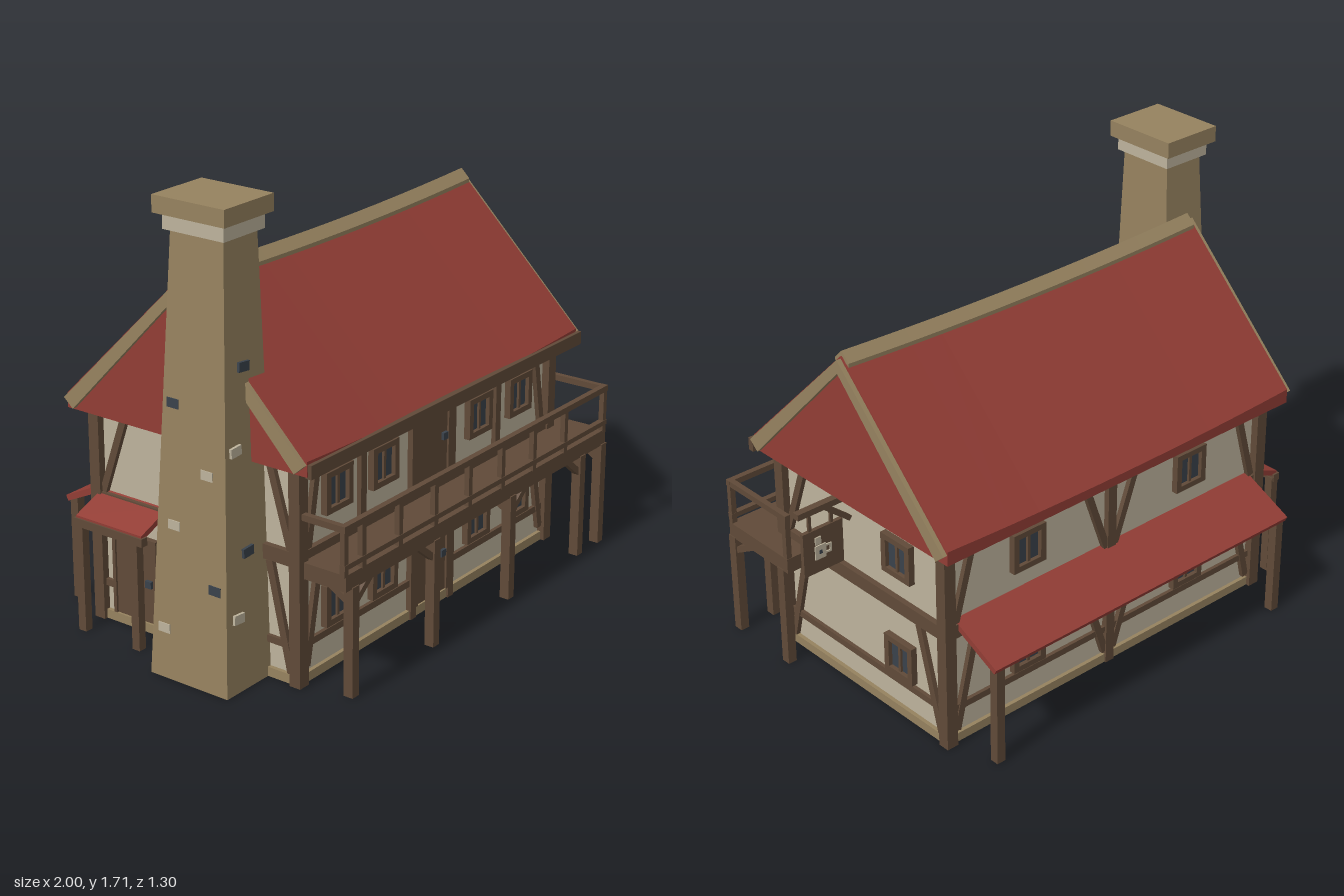
import * as THREE from 'three';

const mat = (name, color) => {
  const m = new THREE.MeshStandardMaterial({ color });
  m.name = name;
  return m;
};

export function createModel() {
  const plaster = mat('plaster', 0xbdb39c), red = mat('roof red', 0x923d35), tan = mat('stone tan', 0x96825f);
  const wood = mat('dark timber', 0x604a38), slate = mat('slate', 0x3a424b);
  const model = new THREE.Group();
  model.name = 'tavern';

  const add = (parent, name, geo, m) => {
    const mesh = new THREE.Mesh(geo, m);
    mesh.name = name;
    parent.add(mesh);
    return mesh;
  };
  const box = (parent, name, m, x0, x1, y0, y1, z0, z1) => {
    const mesh = add(parent, name, new THREE.BoxGeometry(x1 - x0, y1 - y0, z1 - z0), m);
    mesh.position.set((x0 + x1) / 2, (y0 + y1) / 2, (z0 + z1) / 2);
    return mesh;
  };
  // square bar from point p to point q
  const bar = (parent, name, m, p, q, w, d = w) => {
    const a = new THREE.Vector3(...p), b = new THREE.Vector3(...q);
    const mesh = add(parent, name, new THREE.BoxGeometry(w, a.distanceTo(b), d), m);
    mesh.position.copy(a).lerp(b, 0.5);
    mesh.quaternion.setFromUnitVectors(new THREE.Vector3(0, 1, 0), b.sub(a).normalize());
    return mesh;
  };
  // profile in (x, y) swept along z
  const sweep = (points, z0, z1, steps = 1) => {
    const shape = new THREE.Shape(points.map(p => new THREE.Vector2(...p)));
    return new THREE.ExtrudeGeometry(shape, { depth: z1 - z0, steps, bevelEnabled: false }).translate(0, 0, z0);
  };
  // profile in (-z, y) swept along x
  const sweepX = (points, x0, x1, steps) => sweep(points, x0, x1, steps).rotateY(Math.PI / 2);
  const sag = geo => {
    const p = geo.attributes.position;
    for (let i = 0; i < p.count; i++) {
      if (p.getY(i) > 0.83) p.setY(i, p.getY(i) + 0.02 * (p.getX(i) / 0.83) ** 2);
    }
    geo.computeVertexNormals();
    return geo;
  };

  // walls and plinth
  box(model, 'walls', plaster, -0.765, 0.765, 0.02, 0.82, -0.44, 0.44);
  box(model, 'plinth', tan, -0.78, 0.78, 0, 0.035, -0.455, 0.455);
  for (const x of [-0.77, 0.77]) for (const z of [-0.447, 0.447]) {
    box(model, 'cornerPost', wood, x - 0.024, x + 0.024, 0, 0.82, z - 0.023, z + 0.023);
  }

  // one group per wall: local x runs along the wall, local z = 0 is its surface
  const side = (name, angle, dist, half) => {
    const g = new THREE.Group();
    g.name = name;
    g.rotation.y = angle;
    g.position.set(Math.sin(angle) * dist, 0, Math.cos(angle) * dist);
    model.add(g);
    box(g, 'middleBeam', wood, -half, half, 0.443, 0.497, 0, 0.022);
    box(g, 'lowerRail', wood, -half, half, 0.13, 0.156, 0, 0.014);
    box(g, 'topBeam', wood, -half, half, 0.79, 0.82, 0, 0.018);
    return g;
  };
  const brace = (g, x0, y0, x1, y1) => bar(g, 'brace', wood, [x0, y0, 0.006], [x1, y1, 0.006], 0.028, 0.024);
  const windowAt = (g, x, y) => {
    const w = new THREE.Group();
    w.name = 'window';
    w.position.set(x, y, 0);
    g.add(w);
    box(w, 'glass', slate, -0.055, 0.055, -0.06, 0.06, 0, 0.009);
    for (const s of [-1, 1]) {
      box(w, 'frameSide', wood, s * 0.063 - 0.012, s * 0.063 + 0.012, -0.077, 0.077, 0, 0.025);
      box(w, 'frameRail', wood, -0.052, 0.052, s * 0.066 - 0.011, s * 0.066 + 0.011, 0, 0.025);
    }
    box(w, 'mullion', wood, -0.006, 0.006, -0.056, 0.056, 0, 0.018);
  };
  const door = (g, x, y0, y1) => {
    box(g, 'door', wood, x - 0.1, x + 0.1, y0, y1, 0, 0.014);
    for (const s of [-1, 1]) box(g, 'doorTrim', wood, x + s * 0.096 - 0.007, x + s * 0.096 + 0.007, y0, y1, 0, 0.022);
    box(g, 'doorTrim', wood, x - 0.1, x + 0.1, y1 - 0.014, y1, 0, 0.022);
    box(g, 'doorHandle', slate, x + 0.053, x + 0.08, y0 + 0.14, y0 + 0.167, 0, 0.026);
  };

  // front wall
  const front = side('frontWall', 0, 0.44, 0.75);
  for (const s of [-1, 1]) {
    box(front, 'doorPost', wood, s * 0.118 - 0.017, s * 0.118 + 0.017, 0, 0.82, 0, 0.022);
    box(front, 'upperPost', wood, s * 0.418 - 0.016, s * 0.418 + 0.016, 0.47, 0.82, 0, 0.018);
    brace(front, s * 0.73, 0.47, s * 0.67, 0.8);
    brace(front, s * 0.735, 0.06, s * 0.66, 0.44);
    for (const y of [0.245, 0.663]) for (const x of [0.295, 0.562]) windowAt(front, s * x, y);
  }
  door(front, 0, 0.04, 0.365);
  door(front, 0, 0.5, 0.79);

  // right wall
  const right = side('rightWall', Math.PI / 2, 0.765, 0.44);
  for (const y of [0.245, 0.663]) windowAt(right, 0.202, y);
  brace(right, -0.42, 0.5, -0.31, 0.81);
  brace(right, -0.42, 0.04, -0.32, 0.44);
  brace(right, 0.42, 0.04, 0.31, 0.44);

  // back wall with a braced centre post
  const back = side('backWall', Math.PI, 0.44, 0.75);
  box(back, 'centrePost', wood, -0.02, 0.02, 0, 0.82, 0, 0.022);
  for (const s of [-1, 1]) {
    for (const y of [0.245, 0.663]) windowAt(back, s * 0.4, y);
    brace(back, s * 0.02, 0.5, s * 0.13, 0.8);
    brace(back, s * 0.02, 0.05, s * 0.15, 0.44);
    brace(back, s * 0.735, 0.5, s * 0.65, 0.8);
    brace(back, s * 0.735, 0.05, s * 0.64, 0.44);
  }

  // left wall
  const left = side('leftWall', -Math.PI / 2, 0.765, 0.44);
  door(left, -0.28, 0.04, 0.365);
  brace(left, -0.42, 0.5, -0.31, 0.81);
  brace(left, 0.42, 0.5, 0.33, 0.81);
  brace(left, 0.42, 0.04, 0.33, 0.44);

  // sagging main roof, ridge cap, gable boards and front eave beam
  const roof = [[-0.53, 0.807], [0.53, 0.807], [0.53, 0.842], [0, 1.365], [-0.53, 0.842]];
  add(model, 'mainRoof', sag(sweepX(roof, -0.83, 0.83, 12)), red);
  const ridge = [[-0.036, 1.333], [0, 1.36], [0.036, 1.333], [0.036, 1.348], [0, 1.384], [-0.036, 1.348]];
  add(model, 'ridgeCap', sag(sweepX(ridge, -0.82, 0.825, 12)), tan);
  const gable = [[-0.53, 0.85], [-0.49, 0.815], [0, 1.325], [0.49, 0.815], [0.53, 0.85], [0, 1.376]];
  for (const s of [-1, 1]) add(model, 'gableBoard', sweepX(gable, s * 0.836 - 0.012, s * 0.836 + 0.012), tan);
  box(model, 'eaveBeam', wood, -0.825, 0.845, 0.8, 0.85, 0.52, 0.545);

  // tapered chimney
  const stack = new THREE.BoxGeometry(1, 1.6, 1).translate(0, 0.8, 0);
  const sp = stack.attributes.position;
  for (let i = 0; i < sp.count; i++) {
    const top = sp.getY(i) > 0.8;
    sp.setX(i, sp.getX(i) < 0 ? (top ? -0.93 : -1) : (top ? -0.76 : -0.72));
    sp.setZ(i, sp.getZ(i) < 0 ? (top ? 0.055 : -0.02) : (top ? 0.277 : 0.32));
  }
  stack.computeVertexNormals();
  add(model, 'chimney', stack, tan);
  box(model, 'chimneyCollar', plaster, -0.95, -0.742, 1.59, 1.645, 0.038, 0.295);
  box(model, 'chimneyCap', tan, -0.97, -0.72, 1.645, 1.706, 0.012, 0.315);
  for (const [x, y, m, r] of [[-0.86, 1.15, slate, -0.1], [-0.87, 0.5, slate, 0.05], [-0.915, 0.87, plaster, 0.06], [-0.93, 0.275, plaster, -0.08]]) {
    const stone = add(model, 'frontStone', new THREE.BoxGeometry(0.052, 0.034, 0.02), m);
    stone.position.set(x, y, 0.32 - 0.027 * y);
    stone.rotation.z = r;
  }
  for (const [z, y, m] of [[0.07, 1, slate], [0.26, 0.38, slate], [0.22, 0.78, plaster], [0.08, 0.57, plaster], [0.04, 0.185, plaster]]) {
    const stone = add(model, 'sideStone', new THREE.BoxGeometry(0.018, 0.034, 0.05), m);
    stone.position.set(-0.994 + 0.044 * y, y, z);
  }

  // balcony deck that turns the right corner, with its posts
  const balcony = new THREE.Group();
  balcony.name = 'balcony';
  model.add(balcony);
  box(balcony, 'frontDeck', wood, -0.77, 0.885, 0.405, 0.465, 0.44, 0.645);
  box(balcony, 'sideDeck', wood, 0.765, 0.885, 0.405, 0.465, 0.295, 0.445);
  for (const x of [-0.72, -0.245, 0.238, 0.72, 0.87]) {
    box(balcony, 'deckPost', wood, x - 0.018, x + 0.018, 0, 0.41, 0.612, 0.65);
    bar(balcony, 'deckBrace', wood, [x, 0.355, 0.615], [x, 0.42, 0.5], 0.024);
  }
  box(balcony, 'deckPost', wood, 0.852, 0.888, 0, 0.41, 0.318, 0.355);
  for (const [x, d] of [[-0.72, 1], [-0.245, -1], [0.238, 1], [0.72, -1]]) {
    bar(balcony, 'deckBrace', wood, [x, 0.335, 0.63], [x + d * 0.1, 0.415, 0.63], 0.024);
  }

  // balcony railing
  for (const [y0, y1] of [[0.622, 0.645], [0.486, 0.505]]) {
    box(balcony, 'frontRail', wood, -0.78, 0.885, y0, y1, 0.625, 0.648);
    if (y0 > 0.6) for (const x of [-0.77, 0.873]) box(balcony, 'sideRail', wood, x - 0.011, x + 0.011, y0, y1, x > 0 ? 0.295 : 0.44, 0.64);
  }
  for (const x of [-0.768, -0.67, -0.46, -0.25, -0.04, 0.17, 0.38, 0.595, 0.873]) {
    box(balcony, 'baluster', wood, x - 0.011, x + 0.011, 0.46, 0.63, 0.626, 0.646);
  }
  box(balcony, 'baluster', wood, 0.862, 0.884, 0.46, 0.63, 0.297, 0.319);

  // lean-to roof along the back
  const lean = [[0.44, 0.482], [0.645, 0.385], [0.655, 0.405], [0.44, 0.508]];
  add(model, 'backPorchRoof', sweepX(lean, -0.73, 0.73), red);
  for (const x of [-0.7, 0.7]) box(model, 'backPorchPost', wood, x - 0.018, x + 0.018, 0, 0.4, -0.645, -0.61);

  // small porch on the left
  const porch = [[-0.76, 0.48], [-0.76, 0.502], [-0.905, 0.444], [-0.905, 0.422]];
  add(model, 'sidePorchRoof', sweep(porch, -0.44, -0.135), red);
  box(model, 'sidePorchBeam', wood, -0.912, -0.882, 0.405, 0.436, -0.447, -0.128);
  for (const z of [-0.425, -0.17]) box(model, 'sidePorchPost', wood, -0.91, -0.877, 0, 0.42, z - 0.017, z + 0.017);

  // hanging sign with a plain mug
  const sign = new THREE.Group();
  sign.name = 'hangingSign';
  model.add(sign);
  box(sign, 'signArm', wood, 0.765, 1, 0.784, 0.808, 0.056, 0.084);
  bar(sign, 'signBrace', wood, [0.77, 0.7, 0.07], [0.88, 0.79, 0.07], 0.02);
  for (const x of [0.85, 0.945]) box(sign, 'signHanger', wood, x - 0.006, x + 0.006, 0.71, 0.79, 0.065, 0.075);
  box(sign, 'signBoard', wood, 0.806, 0.98, 0.54, 0.715, 0.062, 0.078);
  for (const z of [0.06, 0.08]) {
    box(sign, 'mugBody', plaster, 0.885, 0.932, 0.595, 0.65, z - 0.003, z + 0.003);
    box(sign, 'mugFoam', plaster, 0.905, 0.93, 0.655, 0.685, z - 0.003, z + 0.003);
    box(sign, 'mugHandle', plaster, 0.86, 0.868, 0.607, 0.642, z - 0.003, z + 0.003);
    for (const y of [0.607, 0.636]) box(sign, 'mugHandle', plaster, 0.866, 0.886, y, y + 0.007, z - 0.003, z + 0.003);
    box(sign, 'mugMark', slate, 0.902, 0.915, 0.615, 0.63, z - 0.004, z + 0.004);
  }
  return model;
}
